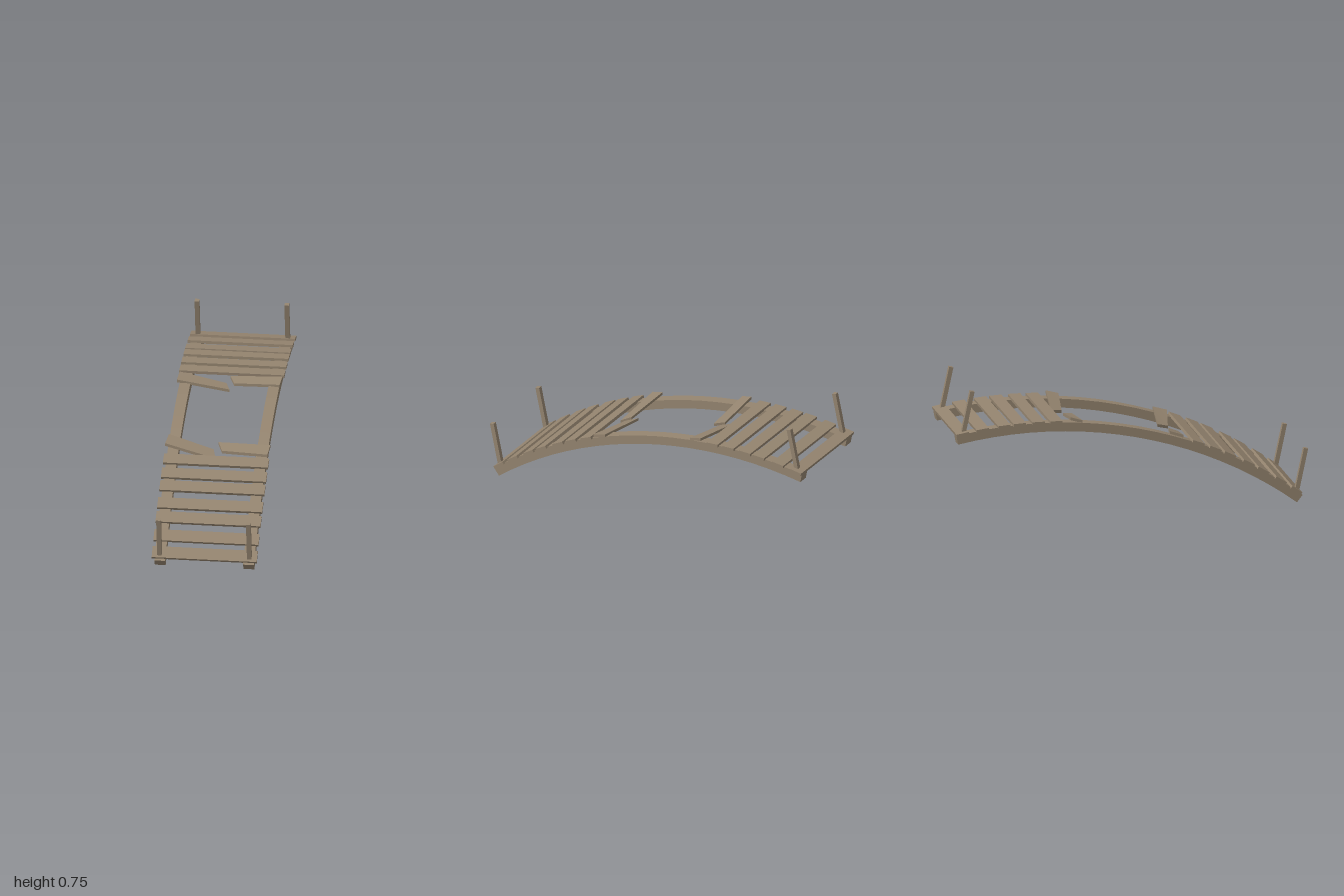
import * as THREE from 'three';

// Side profile of the bridge: a circular arc in the z-y plane
const R = 2.436, PEAK_Z = -0.54, PEAK_Y = 0.525;
const START = Math.asin((0.945 - PEAK_Z) / R);
const END = Math.asin((-0.988 - PEAK_Z) / R);
const arcPoint = (angle, offset = 0) => new THREE.Vector2(
  PEAK_Z + (R + offset) * Math.sin(angle),
  PEAK_Y - R + (R + offset) * Math.cos(angle)
);

export function createModel() {
  const group = new THREE.Group();
  const wood = new THREE.MeshStandardMaterial({ color: 0x94846f });
  wood.name = 'weatheredWood';

  const add = (name, geometry) => {
    const mesh = new THREE.Mesh(geometry, wood);
    mesh.name = name;
    group.add(mesh);
    return mesh;
  };

  // Curved side beams
  const SEGMENTS = 20, BEAM_W = 0.06, HALF_T = 0.025;
  const lower = [], upper = [];
  for (let i = 0; i <= SEGMENTS; i++) {
    const a = THREE.MathUtils.lerp(START, END, i / SEGMENTS);
    lower.push(arcPoint(a, -HALF_T));
    upper.push(arcPoint(a, HALF_T));
  }
  const profile = new THREE.Shape([...lower, ...upper.reverse()]);
  for (const side of [-1, 1]) {
    const geometry = new THREE.ExtrudeGeometry(profile, { depth: BEAM_W, bevelEnabled: false });
    geometry.translate(0, 0, -BEAM_W / 2).rotateY(-Math.PI / 2);
    add(side > 0 ? 'leftBeam' : 'rightBeam', geometry).position.x = side * 0.245;
  }

  // Whole planks, laid along the arc with uneven gaps
  const plankZ = [
    0.924, 0.836, 0.736, 0.655, 0.549, 0.467, 0.371,
    -0.432, -0.532, -0.638, -0.725, -0.847, -0.96
  ];
  const plankGeometry = new THREE.BoxGeometry(0.58, 0.016, 0.07);
  plankZ.forEach((z, i) => {
    const angle = Math.asin((z - PEAK_Z) / (R + 0.029));
    const p = arcPoint(angle, 0.029);
    const plank = add('plank' + (i + 1), plankGeometry);
    plank.position.set(0, p.y, p.x);
    plank.rotation.x = angle;
  });

  // Snapped planks: top corners as back left, back right, front left, front right seen from the front
  const brokenPlank = (name, corners) => {
    const geometry = new THREE.BoxGeometry(1, 1, 1);
    const pos = geometry.attributes.position;
    for (let i = 0; i < pos.count; i++) {
      const [x, y, z] = corners[(pos.getX(i) > 0 ? 1 : 0) + (pos.getZ(i) > 0 ? 2 : 0)];
      pos.setXYZ(i, x, pos.getY(i) > 0 ? y : y - 0.016, z);
    }
    geometry.computeVertexNormals();
    add(name, geometry);
  };
  brokenPlank('brokenPlankFrontRight', [
    [-0.278, 0.457, 0.212], [-0.025, 0.402, 0.263], [-0.291, 0.434, 0.284], [-0.008, 0.374, 0.322]]);
  brokenPlank('brokenPlankFrontLeft', [
    [-0.004, 0.42, 0.207], [0.286, 0.437, 0.25], [0.022, 0.399, 0.272], [0.279, 0.415, 0.328]]);
  brokenPlank('brokenPlankBackRight', [
    [-0.282, 0.574, -0.35], [-0.022, 0.526, -0.332], [-0.29, 0.555, -0.284], [0.002, 0.514, -0.275]]);
  brokenPlank('brokenPlankBackLeft', [
    [-0.006, 0.541, -0.393], [0.285, 0.57, -0.355], [0.022, 0.528, -0.328], [0.277, 0.552, -0.285]]);

  // Leaning corner posts
  const postGeometry = new THREE.BoxGeometry(0.025, 0.298, 0.024);
  for (const [end, y, z] of [['front', 0.155, 0.953], ['back', 0.6065, -0.93]]) {
    for (const side of [-1, 1]) {
      const post = add(end + (side > 0 ? 'Left' : 'Right') + 'Post', postGeometry);
      post.position.set(side * 0.248, y, z);
      post.rotation.x = 0.21;
    }
  }

  return group;
}
